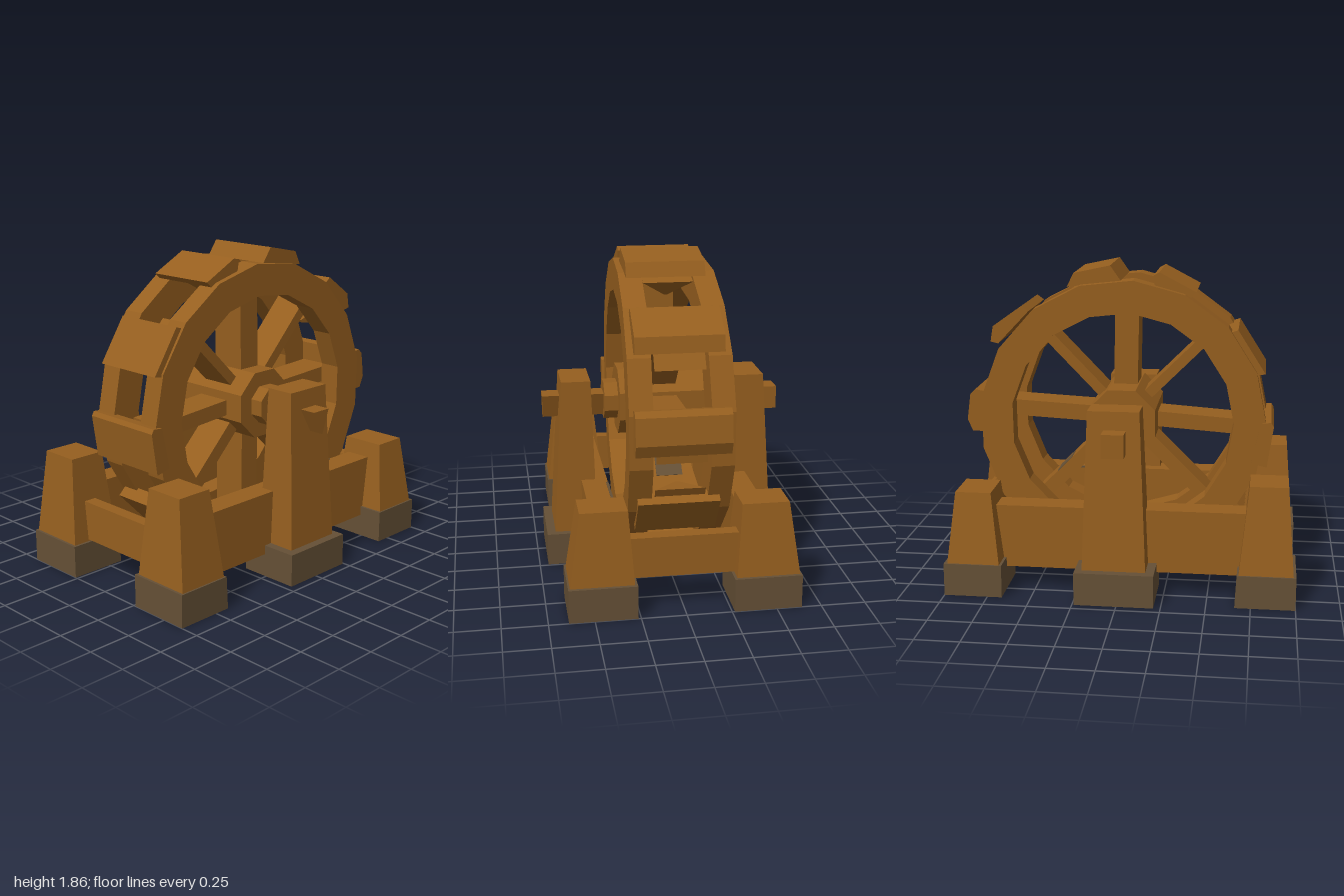
import * as THREE from 'three';

const wood = new THREE.MeshStandardMaterial({ color: 0x965f1f });
const stone = new THREE.MeshStandardMaterial({ color: 0x655036 });
wood.name = 'wood';
stone.name = 'stone';

const HUB = new THREE.Vector2(0.02, 0.95);
const rad = THREE.MathUtils.degToRad;

function add(parent, name, geometry, material = wood) {
  const mesh = new THREE.Mesh(geometry, material);
  mesh.name = name;
  parent.add(mesh);
  return mesh;
}

// Box given by its ranges along each axis
function block(x0, x1, y0, y1, z0, z1) {
  return new THREE.BoxGeometry(x1 - x0, y1 - y0, z1 - z0)
    .translate((x0 + x1) / 2, (y0 + y1) / 2, (z0 + z1) / 2);
}

// Tapered block: bottom and top are [x0, x1, z0, z1]
function taper(bottom, top, y0, y1) {
  const g = new THREE.BoxGeometry(1, 1, 1);
  const p = g.attributes.position;
  for (let i = 0; i < p.count; i++) {
    const r = p.getY(i) > 0 ? top : bottom;
    p.setXYZ(i, p.getX(i) > 0 ? r[1] : r[0], p.getY(i) > 0 ? y1 : y0, p.getZ(i) > 0 ? r[3] : r[2]);
  }
  g.computeVertexNormals();
  return g;
}

function ring(radius, sides, turn = 0) {
  return Array.from({ length: sides }, (_, i) => {
    const a = turn + (i / sides) * Math.PI * 2;
    return new THREE.Vector2(Math.cos(a) * radius, Math.sin(a) * radius);
  });
}

// Polygon in x/y, pushed through from z0 to z1
function prism(points, z0, z1, hole) {
  const shape = new THREE.Shape(points);
  if (hole) shape.holes.push(new THREE.Path(hole));
  return new THREE.ExtrudeGeometry(shape, { depth: z1 - z0, bevelEnabled: false }).translate(0, 0, z0);
}

// Wedge between the rims, pointing to the hub (built upright, then laid along +x)
function wedge() {
  return taper([-0.01, 0.01, -0.01, 0.01], [-0.07, 0.07, -0.14, 0.14], 0.7, 0.81).rotateZ(-Math.PI / 2);
}

function buildWheel() {
  const wheel = new THREE.Group();
  wheel.name = 'wheel';
  wheel.position.set(HUB.x, HUB.y, 0);

  // Two slightly splayed rims
  for (const s of [1, -1]) {
    const rim = add(wheel, 'rim', prism(ring(0.83, 17, 0.17), -0.065, 0.065, ring(0.645, 17, 0.17)));
    rim.position.z = s * 0.2;
    rim.rotation.y = -s * 0.028;
  }

  // Hub drum and its collars
  add(wheel, 'hub', prism(ring(0.21, 8, Math.PI / 8), -0.26, 0.26));
  add(wheel, 'collars', prism(ring(0.118, 8, Math.PI / 8), -0.34, 0.34));

  // Spokes: [angle in degrees, thickness]
  const spokes = [[3, 0.095], [46, 0.06], [91, 0.14], [135, 0.06], [184, 0.09], [225, 0.08], [270, 0.13], [315, 0.08]];
  for (const [deg, t] of spokes) {
    const spoke = add(wheel, 'spoke', block(0.15, 0.72, -t / 2, t / 2, -0.07, 0.14));
    spoke.rotation.z = rad(deg);
    // Weathered patch on the lower right spoke
    if (deg === 315) {
      add(spoke, 'spokePatch', block(0.42, 0.54, t / 2 - 0.003, t / 2 + 0.003, -0.07, 0.08), stone);
    }
  }

  // Uneven paddles, each with its own end profile and z range
  const profiles = [
    [-0.21, 0.235, [[0.03, 1.77], [0.09, 1.855], [0.30, 1.81], [0.34, 1.73]]],
    [-0.205, 0.22, [[-0.40, 1.71], [-0.19, 1.82], [-0.155, 1.80], [-0.165, 1.74], [-0.37, 1.68]]],
    [-0.235, 0.25, [[0.56, 1.59], [0.60, 1.62], [0.77, 1.50], [0.785, 1.41], [0.74, 1.40]]],
    [-0.215, 0.23, [[-0.80, 1.25], [-0.64, 1.50], [-0.58, 1.48], [-0.74, 1.24]]],
    [-0.255, 0.265, [[0.83, 1.12], [0.88, 1.13], [0.91, 1.10], [0.93, 0.95], [0.90, 0.88], [0.83, 0.88]]],
    [-0.25, 0.26, [[-0.855, 0.95], [-0.84, 0.975], [-0.78, 0.97], [-0.73, 0.73], [-0.82, 0.71]]],
    [-0.21, 0.23, [[0.06, 0.13], [0.10, 0.05], [0.30, 0.095], [0.335, 0.13], [0.335, 0.2]]],
    [-0.21, 0.23, [[-0.34, 0.14], [-0.22, 0.09], [-0.10, 0.06], [-0.08, 0.13], [-0.30, 0.20]]],
  ];
  for (const [z0, z1, profile] of profiles) {
    const points = profile.map(([x, y]) => new THREE.Vector2(x, y).sub(HUB));
    add(wheel, 'paddle', prism(points, z0, z1));
  }

  // Lower side paddles
  for (const [deg, r] of [[224, 0.79], [325, 0.77]]) {
    add(wheel, 'paddle', block(r, r + 0.08, -0.13, 0.13, -0.22, 0.235)).rotation.z = rad(deg);
  }

  // Weathered patches on the lowest paddles
  add(wheel, 'paddlePatch', block(0.311, 0.318, -0.82, -0.77, -0.17, 0.21), stone);
  const under = add(wheel, 'paddlePatch', block(-0.055, 0.055, -0.003, 0.003, -0.14, 0.18), stone);
  under.position.set(-0.18, -0.875, 0);
  under.rotation.z = Math.atan2(-0.03, 0.12);

  // Wedges backing the paddles
  for (const deg of [72, 109, 31, 146, -5, 187, 224, 260, 297, 333]) {
    add(wheel, 'paddleWedge', wedge()).rotation.z = rad(deg);
  }
  return wheel;
}

function buildFrame() {
  const frame = new THREE.Group();
  frame.name = 'frame';

  // Everything on the front is repeated on the back
  for (const s of [1, -1]) {
    const zr = (a, b) => (s > 0 ? [a, b] : [-b, -a]);

    // Axle supports
    add(frame, 'supportFooting', block(-0.21, 0.24, 0, 0.19, ...zr(0.34, 0.7)), stone);
    add(frame, 'axleSupport', taper([-0.16, 0.2, ...zr(0.4, 0.65)], [-0.12, 0.17, ...zr(0.425, 0.595)], 0.19, 1.1));

    // Corner posts, taller on the right
    add(frame, 'cornerFooting', taper([-1, -0.66, ...zr(0.265, 0.64)], [-1, -0.67, ...zr(0.265, 0.64)], 0, 0.19), stone);
    add(frame, 'cornerFooting', block(0.665, 1, 0, 0.19, ...zr(0.265, 0.64)), stone);
    add(frame, 'cornerPost', taper([-0.985, -0.68, ...zr(0.28, 0.63)], [-0.945, -0.73, ...zr(0.33, 0.57)], 0.19, 0.69));
    add(frame, 'cornerPost', taper([0.68, 0.98, ...zr(0.28, 0.63)], [0.73, 0.935, ...zr(0.31, 0.57)], 0.19, 0.6));

    // Long rail between the corner posts
    add(frame, 'longRail', block(-0.8, 0.8, 0.135, 0.505, ...zr(0.34, 0.49)));
  }

  // Weathered inner edge of the front rail
  add(frame, 'railPatch', block(0.25, 0.52, 0.5, 0.508, 0.338, 0.352), stone);

  // Rails joining front and back
  add(frame, 'crossRail', block(0.835, 0.915, 0.2, 0.43, -0.35, 0.35));
  add(frame, 'crossRail', block(-0.885, -0.81, 0.2, 0.43, -0.35, 0.35));
  return frame;
}

export function createModel() {
  const model = new THREE.Group();
  model.name = 'waterWheel';
  model.add(buildFrame(), buildWheel());

  // Axle: three-sided at the front, square at the back
  const tip = [[-0.045, 0.995], [0.03, 0.855], [0.08, 0.995]].map(([x, y]) => new THREE.Vector2(x, y));
  add(model, 'axleFront', prism(tip, 0, 0.7));
  add(model, 'axleBack', block(-0.045, 0.08, 0.86, 0.995, -0.7, 0));
  return model;
}
